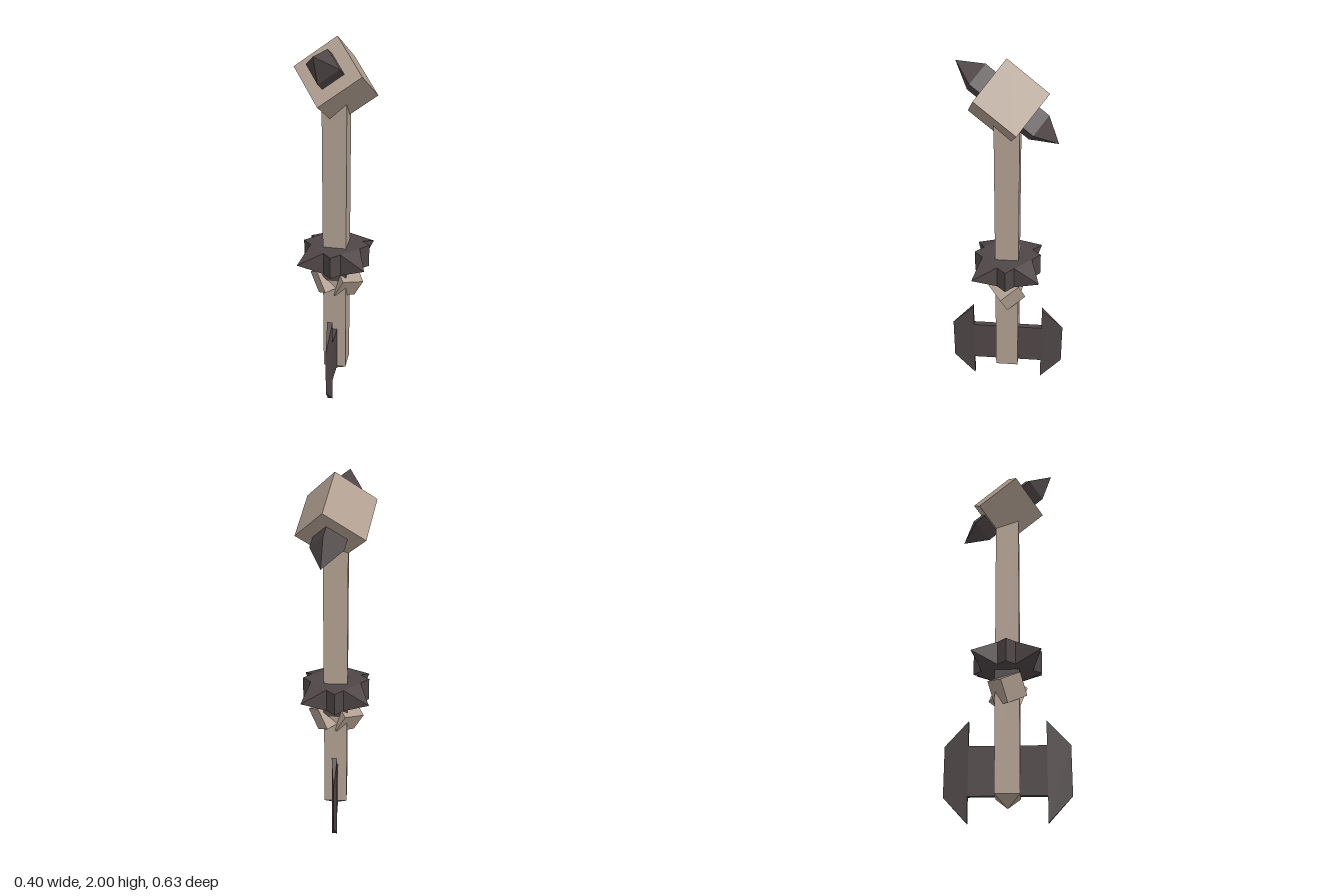
import * as THREE from 'three';

const stone = new THREE.MeshStandardMaterial({ color: 0xb09f90 });
stone.name = 'warm stone';
const iron = new THREE.MeshStandardMaterial({ color: 0x4f4647 });
iron.name = 'dark iron';

function add(parent, name, geometry, material, x = 0, y = 0, z = 0) {
  const mesh = new THREE.Mesh(geometry, material);
  mesh.name = name;
  mesh.position.set(x, y, z);
  parent.add(mesh);
  return mesh;
}

const box = (w, h, d) => new THREE.BoxGeometry(w, h, d);

// Square pyramid with its base at y = 0, sides aligned with x and z
function pyramid(width, height) {
  return new THREE.ConeGeometry(width * Math.SQRT1_2, height, 4, 1)
    .toNonIndexed().rotateY(Math.PI / 4).translate(0, height / 2, 0);
}

function flat(geometry) {
  geometry.computeVertexNormals();
  return geometry;
}

// Half of the axe: a box whose outer end narrows to a sharp upright edge
function bladeWedge() {
  const g = box(0.029, 0.51, 0.12).toNonIndexed();
  const p = g.attributes.position;
  for (let i = 0; i < p.count; i++) {
    if (p.getZ(i) > 0) p.setXYZ(i, 0, p.getY(i) * 0.5, p.getZ(i));
  }
  return flat(g);
}

export function createModel() {
  const model = new THREE.Group();
  model.name = 'spikedAxe';

  // Shaft with a pointed foot
  add(model, 'shaft', box(0.125, 1.6, 0.125), stone, 0, 0.93, 0);
  add(model, 'shaftPoint', flat(pyramid(0.125, 0.06)), stone, 0, 0.13, 0).rotation.x = Math.PI;

  // Tilted cube head with a spike through it
  const head = new THREE.Group();
  head.name = 'head';
  head.position.y = 1.778;
  const spikeAxis = new THREE.Vector3(-0.195, 0.566, 0.8).normalize();
  const sideAxis = new THREE.Vector3(-0.8, -0.566, 0.195);
  sideAxis.addScaledVector(spikeAxis, -sideAxis.dot(spikeAxis)).normalize();
  const thirdAxis = new THREE.Vector3().crossVectors(sideAxis, spikeAxis);
  head.setRotationFromMatrix(new THREE.Matrix4().makeBasis(sideAxis, spikeAxis, thirdAxis));
  add(head, 'headCube', box(0.255, 0.255, 0.255), stone);
  add(head, 'headSpikeBar', box(0.125, 0.38, 0.125), iron);
  for (const s of [1, -1]) {
    const tip = add(head, 'headSpikeTip', flat(pyramid(0.125, 0.124)), iron, 0, s * 0.19, 0);
    if (s < 0) tip.rotation.x = Math.PI;
  }
  model.add(head);

  // Diagonal collar with a spike on each side
  const collar = new THREE.Group();
  collar.name = 'collar';
  collar.position.y = 0.83;
  collar.rotation.y = Math.PI / 4;
  add(collar, 'collarBlock', box(0.252, 0.124, 0.252), iron);
  for (let i = 0; i < 4; i++) {
    const arm = new THREE.Group();
    arm.name = 'collarSpike';
    arm.rotation.y = i * Math.PI / 2;
    add(arm, 'collarSpikeTip', flat(pyramid(0.124, 0.126)), iron, 0, 0, 0.126).rotation.x = Math.PI / 2;
    collar.add(arm);
  }
  model.add(collar);
  add(model, 'collarSleeve', box(0.128, 0.08, 0.128), iron, 0, 0.73, 0);

  // Tilted stone cubes on both sides below the collar
  for (const s of [1, -1]) {
    const side = new THREE.Group();
    side.name = s > 0 ? 'leftStone' : 'rightStone';
    if (s < 0) side.rotation.y = Math.PI;
    const cube = add(side, 'stoneCube', box(0.125, 0.125, 0.125), stone, 0.048, 0.67, 0);
    cube.rotation.set(0.3, 0.52, -0.44, 'XZY');
    model.add(side);
  }

  // Double axe blade
  const blade = new THREE.Group();
  blade.name = 'axeBlade';
  blade.position.y = 0.255;
  add(blade, 'bladePlate', box(0.029, 0.25, 0.39), iron);
  for (const s of [1, -1]) {
    const wedge = add(blade, 'bladeEdge', bladeWedge(), iron, 0, 0, s * 0.255);
    if (s < 0) wedge.rotation.y = Math.PI;
  }
  model.add(blade);

  return model;
}
